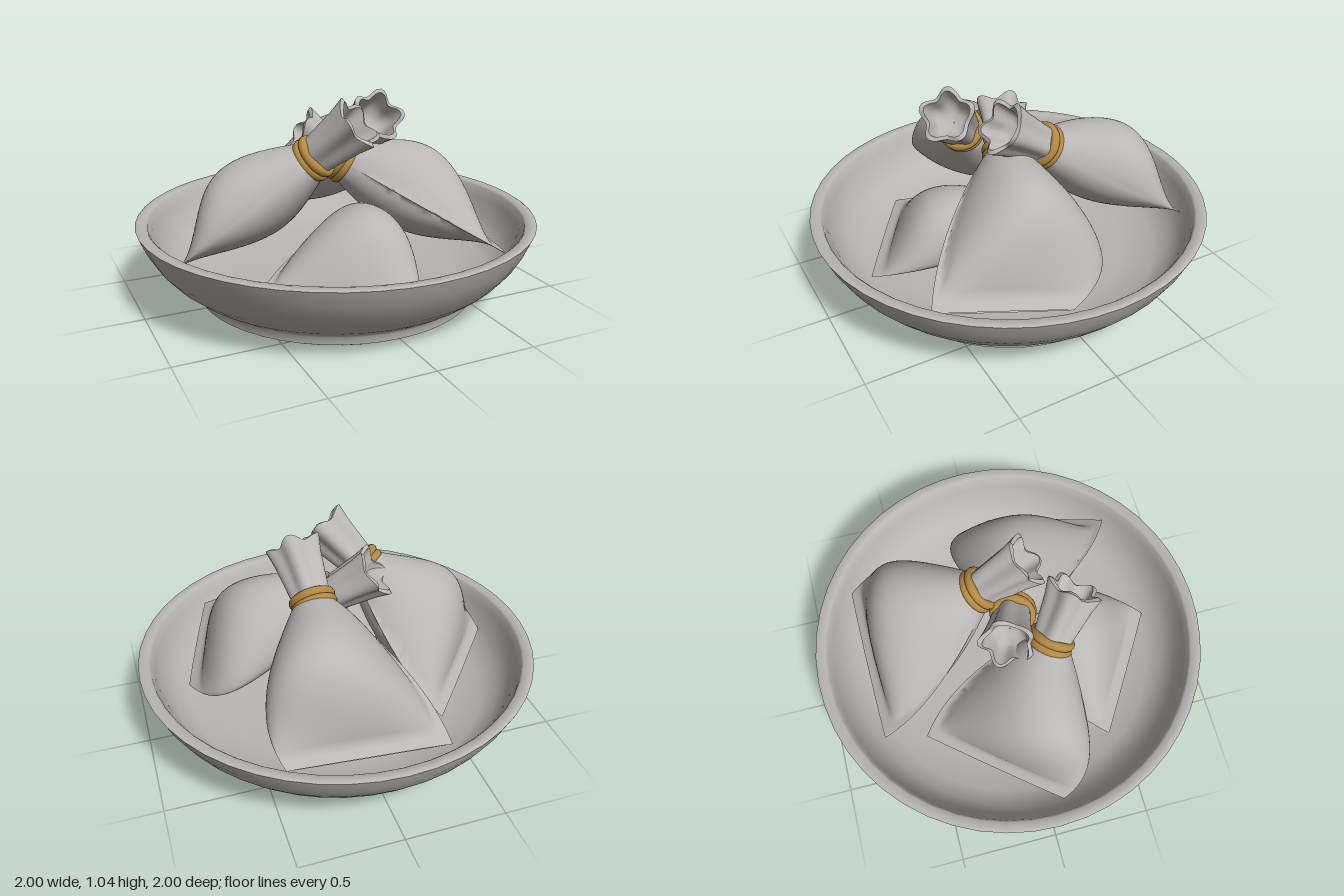
import * as THREE from 'three';
import { toCreasedNormals } from 'three/addons/utils/BufferGeometryUtils.js';

const grey = new THREE.MeshStandardMaterial({ color: 0xb9b7b5, side: THREE.DoubleSide });
grey.name = 'warm grey';
const gold = new THREE.MeshStandardMaterial({ color: 0xb58b42 });
gold.name = 'golden cord';

const V = (a) => new THREE.Vector3(...a);

// Closed rings of points joined into a smooth skin with sharp creases
function skin(rows, cols, pointAt, crease) {
  const pos = [], idx = [];
  for (let i = 0; i <= rows; i++)
    for (let j = 0; j < cols; j++) pos.push(...pointAt(i / rows, (j / cols) * Math.PI * 2, i).toArray());
  for (let i = 0; i < rows; i++)
    for (let j = 0; j < cols; j++) {
      const k = (j + 1) % cols;
      const a = i * cols + j, b = i * cols + k, c = a + cols, d = b + cols;
      idx.push(a, b, c, b, d, c);
    }
  const g = new THREE.BufferGeometry();
  g.setAttribute('position', new THREE.Float32BufferAttribute(pos, 3));
  g.setIndex(idx);
  return toCreasedNormals(g, crease);
}

// Puffed bag: a round neck that widens to a flat seam between two corners.
// The swelling leans over one side seam, which bellies out, and leaves a flat flange on the other.
function bagGeometry({ neck, left, right, up, down, lean, belly, fall }) {
  const N = V(neck), L = V(left), R = V(right), r = 0.085;
  const mid = L.clone().add(R).multiplyScalar(0.5);
  const half = R.clone().sub(L).multiplyScalar(0.5);
  const W = half.length();
  const side = half.clone().normalize();
  const n = side.clone().cross(N.clone().sub(mid)).normalize();
  if (n.y < 0) n.negate();
  const flip = side.clone().cross(n).dot(N.clone().sub(mid)) > 0 ? 1 : -1;
  return skin(36, 72, (u, t) => {
    const x = Math.cos(t), s = Math.sin(t) * flip, top = s > 0;
    const leanSide = x * lean > 0;
    const w = r + (W - r) * Math.pow(Math.sin(u * Math.PI / 2), 0.85)
      + (leanSide ? belly * Math.abs(x) * Math.sin(Math.PI * Math.pow(u, 1.7)) : 0);
    const margin = leanSide ? 1 : 1 - 0.12 * u;
    const dome = Math.pow(Math.max(0, 1 - (x / margin) ** 2), 0.5 + 0.2 * u);
    const along = Math.min(1, u / 0.92);
    const swell = Math.pow(Math.max(0, Math.sin(Math.PI * Math.pow(along, fall))), 0.9);
    const h = (r * (1 - along) + (top ? up : down) * swell) * dome + 0.008 * Math.abs(s);
    return N.clone().lerp(mid, u).addScaledVector(side, x * w + (top ? lean * swell * h : 0))
      .addScaledVector(n, top ? h : -h);
  }, 1.1);
}

// Gathered cloth above the tie: a five-lobed flared cup with a wavy rim
function ruffleGeometry(length) {
  // each entry: radius, height as a share of the length, lobe depth
  const rings = [[0.085, -0.1, 0.03], [0.09, 0.1, 0.08], [0.098, 0.4, 0.11], [0.11, 0.75, 0.12],
    [0.125, 1, 0.13], [0.104, 1.01, 0.13], [0.094, 0.8, 0.12], [0.08, 0.63, 0.09], [0.045, 0.55, 0.04], [0.002, 0.53, 0]];
  return skin(rings.length - 1, 50, (u, t, i) => {
    const [r, y, lobe] = rings[i];
    const q = r * (1 + lobe * Math.cos(5 * t));
    const wave = 0.03 * Math.cos(5 * t) * Math.max(0, y - 0.55);
    return new THREE.Vector3(Math.cos(t) * q, y * length + wave, -Math.sin(t) * q);
  }, 0.8);
}

// Doubled cord wound around the neck
function makeTie() {
  const tie = new THREE.Group();
  tie.name = 'tie';
  for (const y of [-0.018, 0.018]) {
    const loop = new THREE.Mesh(new THREE.TorusGeometry(0.092, 0.023, 10, 36), gold);
    loop.name = 'cordLoop';
    loop.rotation.x = Math.PI / 2;
    loop.position.y = y;
    tie.add(loop);
  }
  return tie;
}

function makeSack(name, spec) {
  const sack = new THREE.Group();
  sack.name = name;
  const bag = new THREE.Mesh(bagGeometry(spec), grey);
  bag.name = 'bag';
  sack.add(bag);
  if (spec.tip) {
    const axis = V(spec.tip).sub(V(spec.neck));
    const top = new THREE.Group();
    top.name = 'gatheredTop';
    const ruffle = new THREE.Mesh(ruffleGeometry(axis.length()), grey);
    ruffle.name = 'ruffle';
    top.add(ruffle, makeTie());
    top.position.copy(V(spec.neck));
    top.quaternion.setFromUnitVectors(new THREE.Vector3(0, 1, 0), axis.normalize());
    sack.add(top);
  }
  return sack;
}

// Round shallow bowl with a low foot and a rounded rim
function makeBowl() {
  const profile = [[0, 0], [0.69, 0.005], [0.708, 0.015], [0.71, 0.05], [0.72, 0.065], [0.79, 0.11],
    [0.86, 0.168], [0.92, 0.238], [0.965, 0.315], [0.99, 0.373], [1, 0.397], [0.992, 0.402], [0.95, 0.4], [0.94, 0.39],
    [0.925, 0.34], [0.89, 0.26], [0.84, 0.19], [0.76, 0.14], [0.6, 0.11], [0, 0.1]];
  const g = new THREE.LatheGeometry(profile.map(([x, y]) => new THREE.Vector2(x, y)), 48);
  const bowl = new THREE.Mesh(toCreasedNormals(g, 0.75), grey);
  bowl.name = 'bowl';
  return bowl;
}

export function createModel() {
  const model = new THREE.Group();
  model.name = 'bowlOfSacks';
  model.add(
    makeBowl(),
    makeSack('backSack', {
      neck: [0.15, 0.74, -0.11], tip: [0.17, 0.91, 0.13],
      left: [-0.33, 0.25, -0.74], right: [0.47, 0.33, -0.75], up: 0.225, down: 0.12, lean: 0.4, belly: 0.04, fall: 1.15,
    }),
    makeSack('leftSack', {
      neck: [-0.19, 0.74, 0.16], tip: [-0.03, 0.92, 0.31],
      left: [-0.37, 0.23, -0.53], right: [-0.86, 0.25, 0.07], up: 0.19, down: 0.12, lean: 0.45, belly: 0.06, fall: 1.2,
    }),
    makeSack('rightSack', {
      neck: [0.02, 0.675, 0.03], tip: [-0.18, 0.82, -0.05],
      left: [0.76, 0.24, 0.08], right: [0.56, 0.32, 0.69], up: 0.22, down: 0.12, lean: -0.25, belly: 0.17, fall: 1.1,
    }),
    makeSack('frontSack', {
      neck: [0.12, 0.36, 0.05],
      left: [-0.58, 0.17, 0.4], right: [0.02, 0.18, 0.77], up: 0.19, down: 0.08, lean: 0.3, belly: 0.02, fall: 1.1,
    }),
  );
  return model;
}
